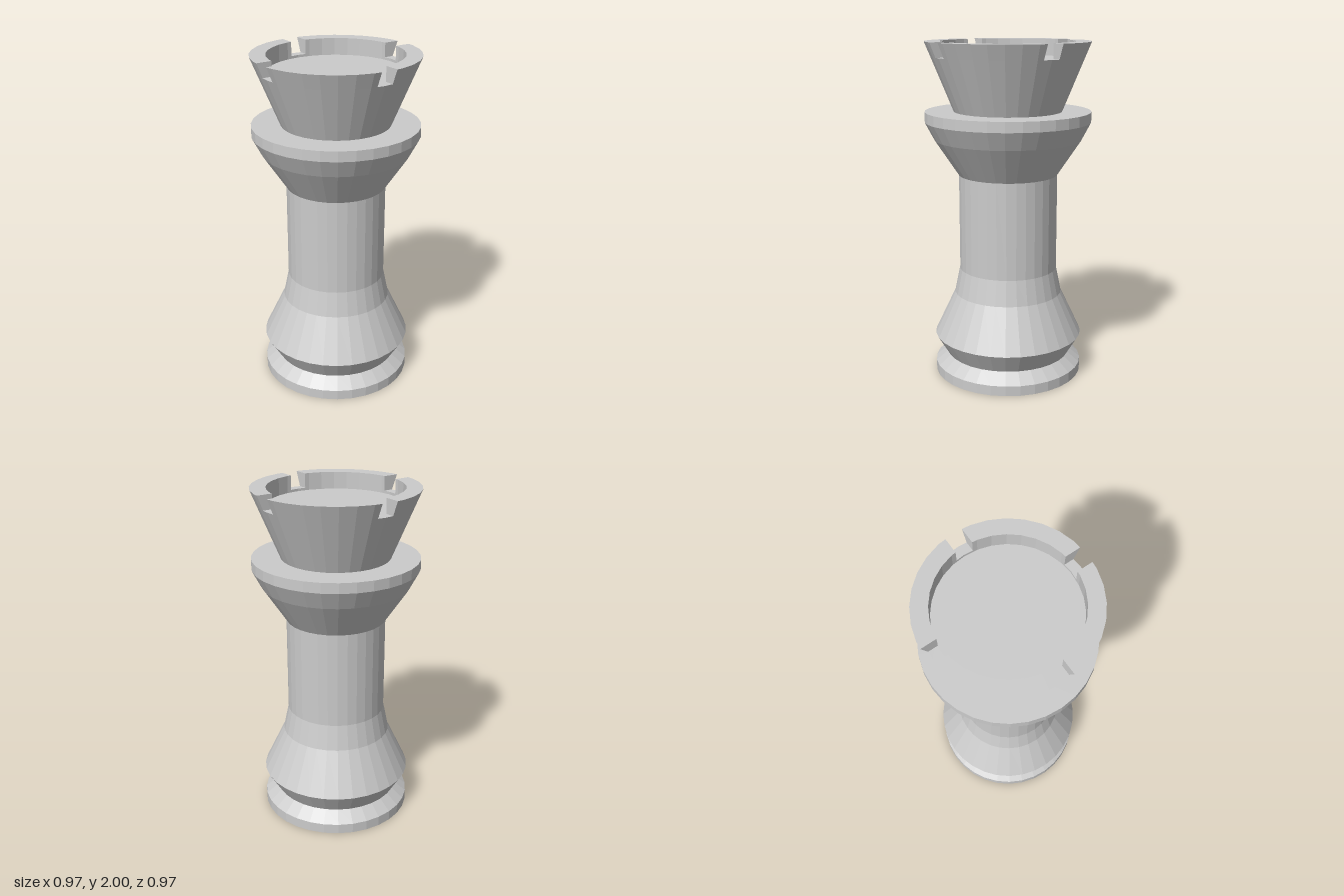
import * as THREE from 'three';

const SIDES = 32;
const NOTCH = 0.05; // half width of a crown notch
const material = new THREE.MeshStandardMaterial({ color: 0xcccccc, flatShading: true });

// Faceted turned part from [radius, y] pairs, listed bottom to top
function turned(name, profile) {
  const points = profile.map(([r, y]) => new THREE.Vector2(r, y));
  const mesh = new THREE.Mesh(new THREE.LatheGeometry(points, SIDES), material);
  mesh.name = name;
  return mesh;
}

// A quarter of the rim: a four-cornered section swept between two notches
function merlonGeometry(section) {
  const step = (Math.PI * 2) / SIDES;
  const last = SIDES / 4;
  const rings = [];
  for (let i = 0; i <= last; i++) {
    rings.push(section.map(([r, y]) => {
      // End rings lie on the facets, cut parallel to the notch
      const chord = r - NOTCH * Math.tan(step / 2);
      if (i === 0) return [chord, y, NOTCH];
      if (i === last) return [NOTCH, y, chord];
      return [r * Math.cos(i * step), y, r * Math.sin(i * step)];
    }));
  }
  const positions = [];
  const quad = (a, b, c, d) => positions.push(...a, ...b, ...c, ...a, ...c, ...d);
  for (let i = 0; i < last; i++) {
    for (let j = 0; j < 4; j++) {
      const k = (j + 1) % 4;
      quad(rings[i][j], rings[i][k], rings[i + 1][k], rings[i + 1][j]);
    }
  }
  quad(...[...rings[0]].reverse());
  quad(...rings[last]);
  const geometry = new THREE.BufferGeometry();
  geometry.setAttribute('position', new THREE.Float32BufferAttribute(positions, 3));
  geometry.computeVertexNormals();
  return geometry;
}

export function createModel() {
  const model = new THREE.Group();
  model.name = 'chessRook';

  model.add(
    // Foot disc with its bevel up to the waist
    turned('base', [[0, 0], [0.447, 0], [0.447, 0.06], [0.375, 0.12]]),
    // Flared skirt and straight column
    turned('stem', [[0.375, 0.12], [0.447, 0.24], [0.324, 0.5], [0.293, 0.65], [0.293, 1.225]]),
    // Spreading collar with a flat top
    turned('collar', [[0.293, 1.225], [0.432, 1.435], [0.487, 1.54], [0.487, 1.6], [0.318, 1.6]]),
    // Crown cup up to the notch floors, with the sunken top
    turned('crown', [[0.318, 1.6], [0.447, 1.915], [0.39, 1.915], [0.39, 1.9], [0, 1.9]])
  );

  // Four rim blocks: outer bottom, outer top, inner top, inner bottom
  const geometry = merlonGeometry([[0.447, 1.915], [0.482, 2], [0.39, 2], [0.39, 1.915]]);
  for (let i = 0; i < 4; i++) {
    const merlon = new THREE.Mesh(geometry, material);
    merlon.name = `merlon${i + 1}`;
    merlon.rotation.y = (i * Math.PI) / 2;
    model.add(merlon);
  }
  return model;
}
